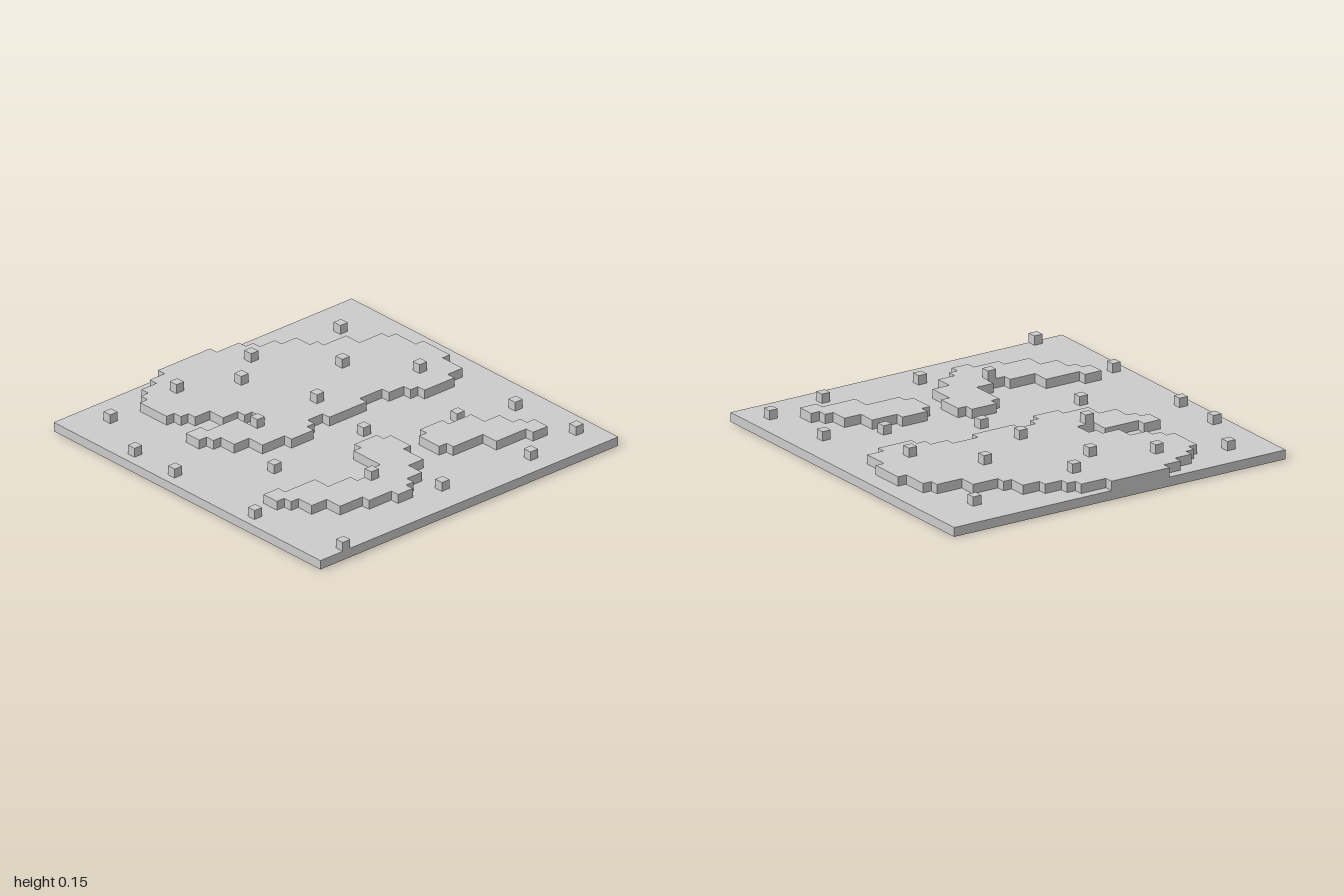
import * as THREE from 'three';

const U = 0.05; // one grid cell
const material = new THREE.MeshStandardMaterial({ color: 0xcccccc, flatShading: true });

// Stepped outlines in cells: alternating x and z moves, ending at the start corner
const outlines = {
  largePlateau: [
    -19, -4, -18, -5, -17, -7, -16, -9, -14, -10, -13, -13, -11, -16, -10, -17, -7, -18,
    -3, -17, 0, -15, 1, -11, 0, -10, -1, -8, -2, -5, -1, 0, -2, 2, -1, 3, 0, 6, -1, 9,
    -3, 11, -5, 12, -6, 13, -8, 11, -7, 7, -5, 5, -7, 6, -8, 8, -10, 10, -11, 11,
    -12, 12, -16, 11, -17, 10, -18, 8, -19, 6, -20, -1],
  smallPlateau: [
    15, -13, 14, -9, 12, -5, 11, -4, 8, -5, 7, -8, 8, -11, 10, -13, 12, -14, 13, -15],
  hookedPlateau: [
    9, -1, 12, 1, 14, 3, 15, 4, 16, 6, 15, 9, 14, 12, 12, 14, 10, 15, 9, 16,
    7, 14, 8, 10, 10, 7, 11, 5, 10, 3, 6, 2, 5, -1, 6, -2],
};

// Cells (minimum corner x, z) that carry a single block
const plateauBlocks = [[-3, -14], [-9, -9], [-16, -3], [-5, -2], [-13, 1], [-16, 7], [-5, 6], [11, 5]];
const groundBlocks = [
  [-16, -15], [-17, 15], [-10, 18], [-4, 18], [8, 18], [2, 10], [2, -2],
  [8, -17], [16, -18], [6, -11], [17, -11], [16, 0], [19, 16]];

function plateauGeometry(moves) {
  let [x, z] = moves.slice(-2);
  const points = moves.map((value, i) => {
    if (i % 2) z = value; else x = value;
    return new THREE.Vector2(x * U, -z * U);
  });
  return new THREE.ExtrudeGeometry(new THREE.Shape(points), { depth: U, bevelEnabled: false })
    .rotateX(-Math.PI / 2);
}

export function createModel() {
  const group = new THREE.Group();
  group.name = 'terrain';
  const add = (name, geometry, x, y, z) => {
    const mesh = new THREE.Mesh(geometry, material);
    mesh.name = name;
    mesh.position.set(x, y, z);
    group.add(mesh);
  };

  // Square base slab
  add('base', new THREE.BoxGeometry(2, U, 2), 0, U / 2, 0);

  // Raised plateaus
  for (const [name, moves] of Object.entries(outlines)) add(name, plateauGeometry(moves), 0, U, 0);

  // Scattered blocks on the plateaus and on the ground
  const cube = new THREE.BoxGeometry(U, U, U);
  const scatter = (name, cells, level) => cells.forEach(([x, z], i) =>
    add(`${name}${i + 1}`, cube, (x + 0.5) * U, (level + 0.5) * U, (z + 0.5) * U));
  scatter('plateauBlock', plateauBlocks, 2);
  scatter('groundBlock', groundBlocks, 1);

  return group;
}
